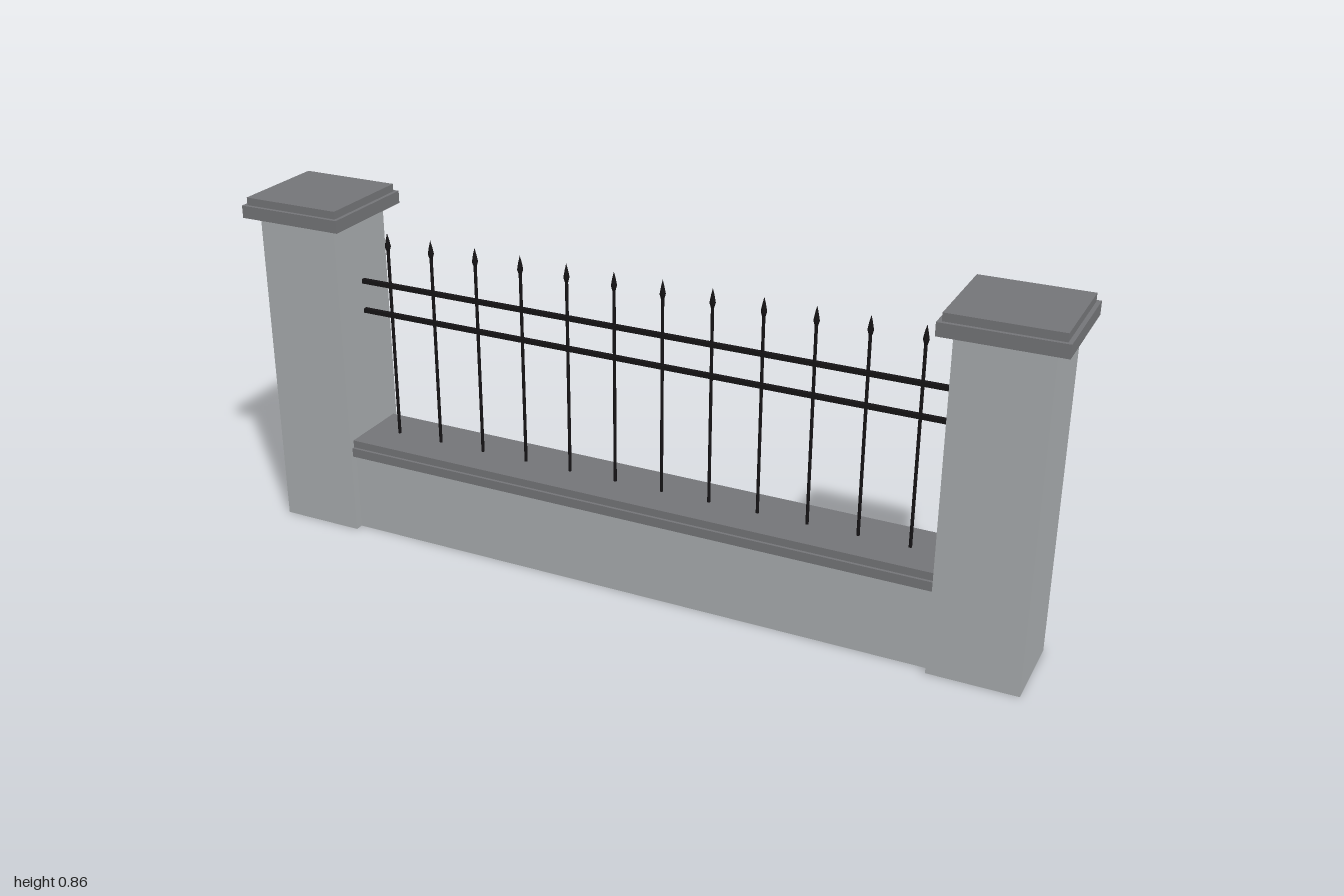
import * as THREE from 'three';

export function createModel() {
  const model = new THREE.Group();
  model.name = 'fenceSection';
  const mat = (name, color) => {
    const m = new THREE.MeshStandardMaterial({ color });
    m.name = name;
    return m;
  };
  const render = mat('paleStone', 0xa6aaac);
  const stone = mat('darkStone', 0x737477);
  const iron = mat('blackIron', 0x151315);

  const add = (parent, name, geometry, material, x, y, z = 0) => {
    const mesh = new THREE.Mesh(geometry, material);
    mesh.name = name;
    mesh.position.set(x, y, z);
    parent.add(mesh);
    return mesh;
  };
  // Box given by its width, depth and bottom and top heights
  const block = (parent, name, material, x, w, d, y0, y1) =>
    add(parent, name, new THREE.BoxGeometry(w, y1 - y0, d), material, x, (y0 + y1) / 2);

  // Pillars with two-step caps
  for (const side of [-1, 1]) {
    const pillar = new THREE.Group();
    pillar.name = side > 0 ? 'leftPillar' : 'rightPillar';
    const x = side * 0.8635;
    block(pillar, 'shaft', render, x, 0.213, 0.207, 0, 0.811);
    block(pillar, 'capSlab', stone, x, 0.273, 0.266, 0.811, 0.842);
    block(pillar, 'capTop', stone, x, 0.254, 0.248, 0.842, 0.861);
    model.add(pillar);
  }

  // Low wall with its coping
  const span = 1.514;
  block(model, 'lowWall', render, 0, span, 0.166, 0, 0.205);
  block(model, 'copingSlab', stone, 0, span, 0.194, 0.205, 0.228);
  block(model, 'copingTop', stone, 0, span, 0.18, 0.228, 0.247);

  // Horizontal rails
  for (const y of [0.568, 0.645]) {
    add(model, 'rail', new THREE.BoxGeometry(span, 0.011, 0.011), iron, 0, y);
  }

  // Upright bars with spear heads
  const barGeometry = new THREE.CylinderGeometry(0.004, 0.004, 0.5, 8);
  const spearGeometry = new THREE.LatheGeometry(
    [[0, 0], [0.004, 0], [0.0075, 0.012], [0.004, 0.03], [0, 0.046]].map(
      ([r, y]) => new THREE.Vector2(r, y)), 8);
  for (let i = 0; i < 12; i++) {
    const x = -0.677 + i * 0.1227;
    add(model, 'bar', barGeometry, iron, x, 0.488);
    add(model, 'spearHead', spearGeometry, iron, x, 0.734);
  }
  return model;
}
